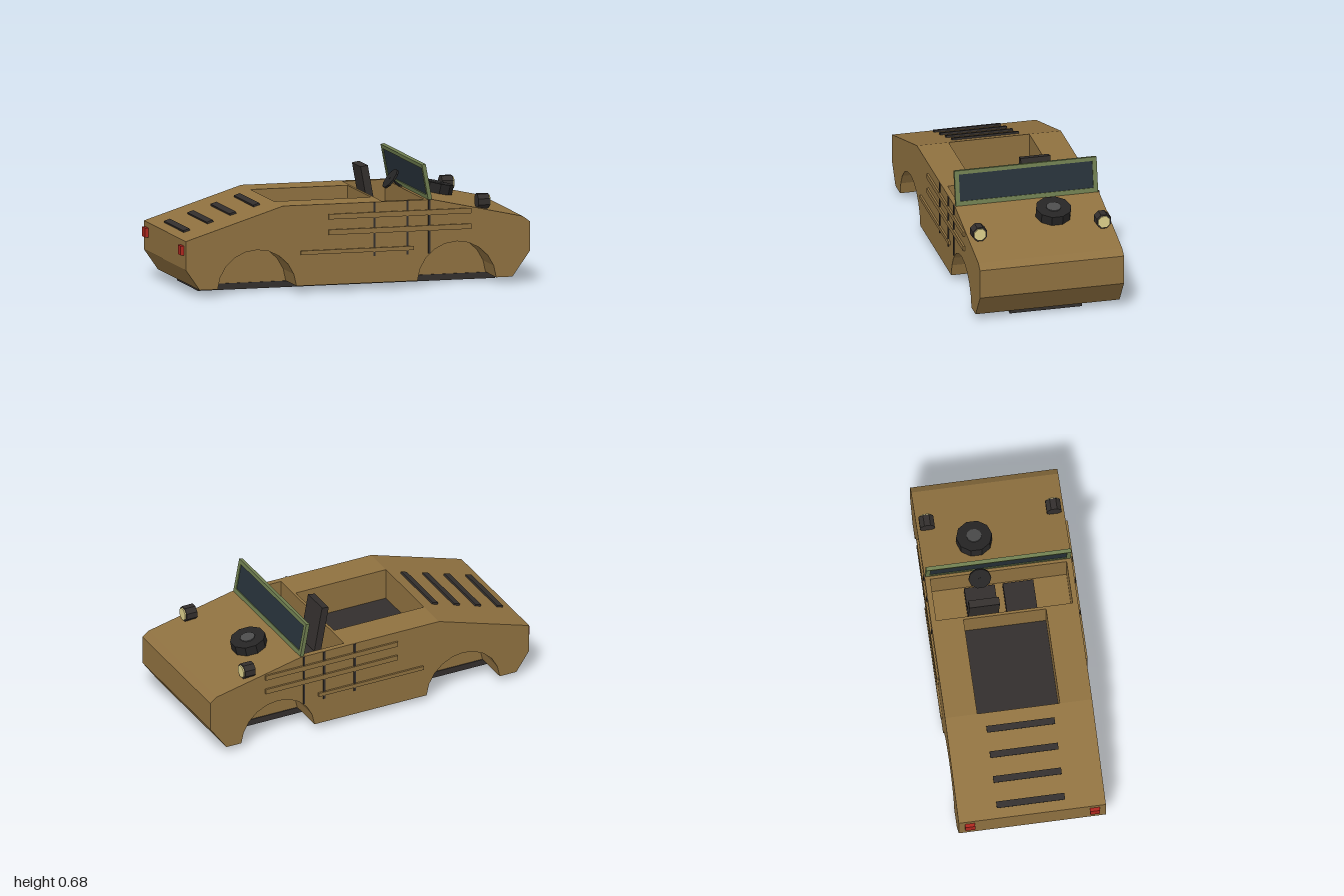
import * as THREE from 'three';

const paint = (color) => new THREE.MeshStandardMaterial({ color, flatShading: true });
const tan = paint(0x8f7140);
const dark = paint(0x332f2d);
const black = paint(0x262525);
const grey = paint(0x4c4c4c);
const green = paint(0x6e7d4f);
const glass = paint(0x27323a);
const cream = paint(0xddd08c);
const red = paint(0xb02820);

function add(parent, name, geometry, material, x = 0, y = 0, z = 0, tilt = 0) {
  const mesh = new THREE.Mesh(geometry, material);
  mesh.name = name;
  mesh.position.set(x, y, z);
  mesh.rotation.z = tilt;
  parent.add(mesh);
  return mesh;
}
const box = (w, h, d) => new THREE.BoxGeometry(w, h, d);
const disc = (r, h, sides) => new THREE.CylinderGeometry(r, r, h, sides);

// Side outline of the hull, optionally notched by the openings and wheel arches
function hullShape({ cargo, cockpit, arches }) {
  const p = [[-0.9, 0.035], [-0.98, 0.15], [-0.98, 0.31], [-0.42, 0.485]];
  if (cargo) p.push([-0.419, 0.485], [-0.419, 0.295], [0.14, 0.295], [0.14, 0.485]);
  if (cockpit) p.push([0.155, 0.485], [0.155, 0.28], [0.4, 0.28], [0.4, 0.485]);
  p.push([0.44, 0.485], [0.96, 0.37], [1, 0.34], [1, 0.175], [0.9, 0.035]);
  if (arches) {
    for (const cx of [0.58, -0.57]) {
      for (let i = 0; i <= 10; i++) {
        const a = THREE.MathUtils.degToRad(4 + 17.2 * i);
        p.push([cx + 0.2275 * Math.cos(a), 0.019 + 0.2275 * Math.sin(a)]);
      }
    }
  }
  return new THREE.Shape(p.map(([x, y]) => new THREE.Vector2(x, y)));
}

// Hull made of slices across the width
function hull() {
  const group = new THREE.Group();
  group.name = 'hull';
  const cuts = [-0.41, -0.38, -0.23, -0.2, 0.2, 0.23, 0.38, 0.41];
  for (let i = 0; i < cuts.length - 1; i++) {
    const mid = Math.abs(cuts[i] + cuts[i + 1]) / 2;
    const shape = hullShape({ cargo: mid < 0.23, cockpit: mid < 0.38, arches: mid > 0.2 });
    const depth = cuts[i + 1] - cuts[i];
    add(group, 'hullSlice', new THREE.ExtrudeGeometry(shape, { depth, bevelEnabled: false }), tan, 0, 0, cuts[i]);
  }
  add(group, 'cargoFloor', box(0.558, 0.01, 0.46), dark, -0.14, 0.298, 0);
  add(group, 'bottomPlate', box(1.71, 0.035, 0.41), dark, 0.005, 0.0175, 0);
  return group;
}

// Folding windscreen leaning back
function windscreen() {
  const group = new THREE.Group();
  group.name = 'windscreen';
  const frame = new THREE.Shape();
  const rect = (path, w, y0, y1) =>
    path.moveTo(-w, y0).lineTo(w, y0).lineTo(w, y1).lineTo(-w, y1).closePath();
  rect(frame, 0.405, 0, 0.2);
  const hole = new THREE.Path();
  rect(hole, 0.38, 0.025, 0.178);
  frame.holes.push(hole);
  const geometry = new THREE.ExtrudeGeometry(frame, { depth: 0.022, bevelEnabled: false });
  geometry.rotateY(Math.PI / 2).translate(-0.011, 0, 0);
  add(group, 'windscreenFrame', geometry, green);
  add(group, 'windscreenGlass', box(0.012, 0.153, 0.76), glass, 0, 0.1015, 0);
  group.position.set(0.428, 0.485, 0);
  group.rotation.z = 0.185;
  return group;
}

// Seats and steering
function cockpit() {
  const group = new THREE.Group();
  group.name = 'cockpit';
  add(group, 'driverSeat', box(0.18, 0.07, 0.17), dark, 0.28, 0.315, -0.11);
  add(group, 'driverSeatBack', box(0.042, 0.27, 0.17), dark, 0.199, 0.488, -0.11, 0.18);
  add(group, 'passengerSeat', box(0.18, 0.07, 0.17), dark, 0.28, 0.315, 0.105);
  add(group, 'steeringWheel', disc(0.063, 0.012, 10), black, 0.352, 0.53, -0.11, 0.91);
  add(group, 'steeringColumn', disc(0.008, 0.1, 6), black, 0.385, 0.504, -0.11, 0.91);
  return group;
}

export function createModel() {
  const model = new THREE.Group();
  model.name = 'openVehicle';
  model.add(hull(), windscreen(), cockpit());

  // Spare wheel lying on the bonnet
  const spare = new THREE.Group();
  spare.name = 'spareWheel';
  add(spare, 'spareTyre', disc(0.1, 0.055, 10), black);
  add(spare, 'spareHub', disc(0.042, 0.066, 10), grey);
  spare.position.set(0.607, 0.476, -0.107);
  spare.rotation.z = -0.218;
  model.add(spare);

  // Engine vents on the sloping rear deck
  for (const x of [-0.91, -0.775, -0.643, -0.508]) {
    add(model, 'rearVent', box(0.037, 0.016, 0.38), dark, x, 0.31 + (x + 0.98) * 0.3125 + 0.003, 0, 0.303);
  }

  // Fittings mirrored on both sides
  for (const s of [-1, 1]) {
    const lamp = new THREE.Group();
    lamp.name = 'headlamp';
    add(lamp, 'headlampBody', disc(0.044, 0.065, 8).rotateY(Math.PI / 8), dark, 0, 0, 0, -Math.PI / 2);
    add(lamp, 'headlampLens', disc(0.036, 0.012, 8).rotateY(Math.PI / 8), cream, 0.034, 0, 0, -Math.PI / 2);
    lamp.position.set(0.742, 0.457, s * 0.353);
    model.add(lamp);
    add(model, 'tailLamp', box(0.022, 0.052, 0.055), red, -0.989, 0.255, s * 0.348);
    for (const [x0, x1, y, h] of [[-0.16, 0.66, 0.415, 0.029], [-0.16, 0.66, 0.328, 0.029], [-0.32, 0.33, 0.22, 0.022]]) {
      add(model, 'sideRail', box(x1 - x0, h, 0.014), tan, (x0 + x1) / 2, y, s * 0.414);
    }
    for (const x of [0.105, 0.295, 0.42]) {
      add(model, 'sideStrap', box(0.012, 0.3, 0.01), dark, x, 0.335, s * 0.411);
    }
  }
  return model;
}
